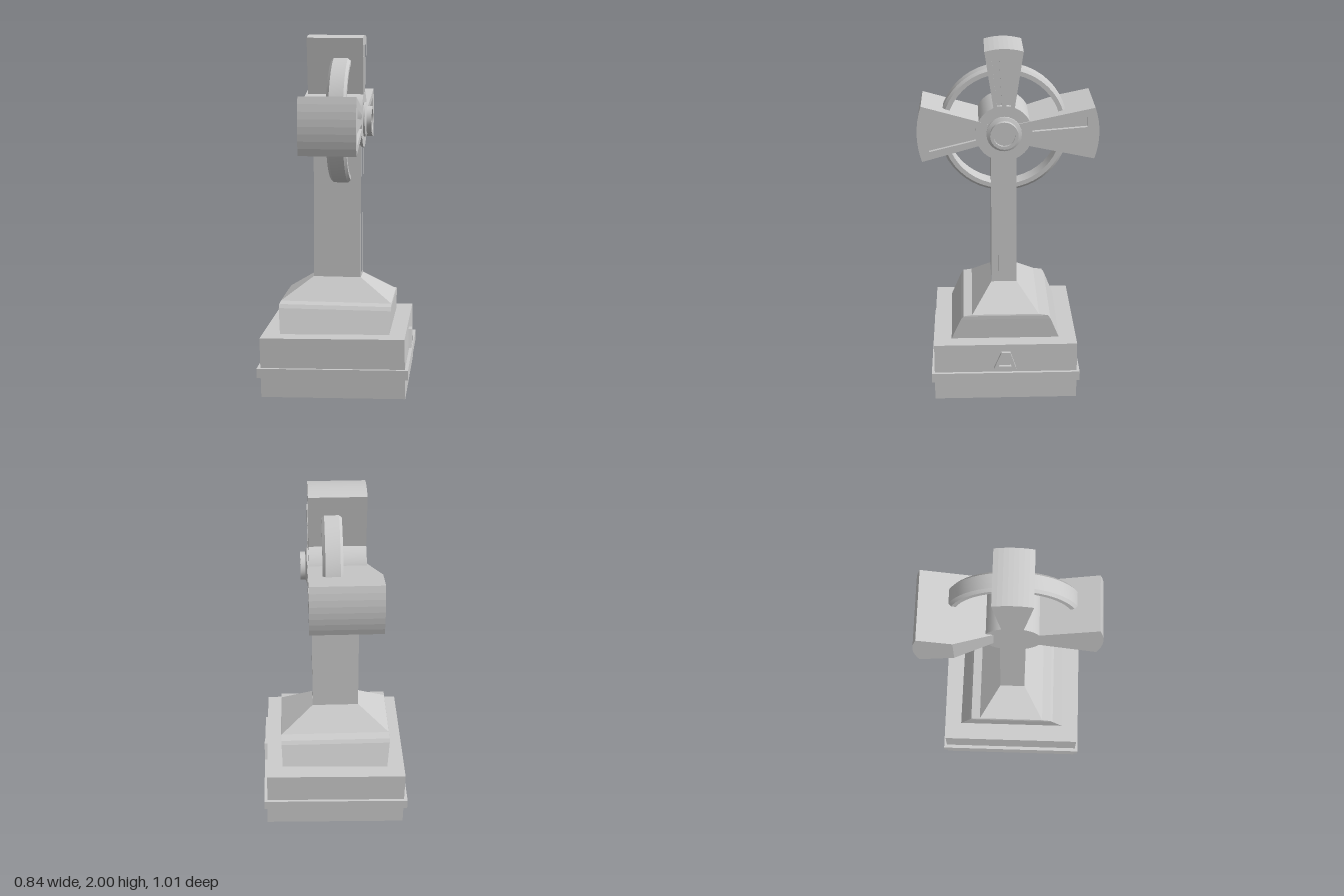
import * as THREE from 'three';
import { toCreasedNormals } from 'three/addons/utils/BufferGeometryUtils.js';

const CY = 1.525, CZ = 0.022; // centre of the cross head
const stone = new THREE.MeshStandardMaterial({ color: 0xcccccc });
stone.name = 'stone';

function add(parent, name, geometry) {
  const mesh = new THREE.Mesh(geometry, stone);
  mesh.name = name;
  parent.add(mesh);
  return mesh;
}

// Outline of [z, y] points extruded along x from x0 to x1
function slab(points, x0, x1, holes = []) {
  const vec = (list) => list.map(([z, y]) => new THREE.Vector2(-z, y));
  const shape = new THREE.Shape(vec(points));
  holes.forEach((h) => shape.holes.push(new THREE.Path(vec(h))));
  const g = new THREE.ExtrudeGeometry(shape, { depth: x1 - x0, bevelEnabled: false });
  return g.rotateY(Math.PI / 2).translate(x0, 0, 0);
}

// Profile of [radius, x] turned around the x axis through the cross head
function turned(profile, segments) {
  const g = new THREE.LatheGeometry(profile.map(([r, x]) => new THREE.Vector2(r, x)), segments);
  return toCreasedNormals(g, 0.5).rotateZ(-Math.PI / 2).translate(0, CY, CZ);
}

// Rectangular sections [y, xMin, xMax, zMin, zMax] joined upwards
function loft(sections) {
  const pos = [];
  const ring = ([y, a, b, c, d]) => [[a, y, d], [b, y, d], [b, y, c], [a, y, c]];
  for (let i = 0; i < sections.length - 1; i++) {
    const p = ring(sections[i]), q = ring(sections[i + 1]);
    for (let k = 0; k < 4; k++) {
      const n = (k + 1) % 4;
      pos.push(...p[k], ...p[n], ...q[n], ...p[k], ...q[n], ...q[k]);
    }
  }
  const g = new THREE.BufferGeometry();
  g.setAttribute('position', new THREE.Float32BufferAttribute(pos, 3));
  g.computeVertexNormals();
  return g;
}

const rect = (z0, z1, y0, y1) => [[z0, y0], [z1, y0], [z1, y1], [z0, y1]];

// Flared arm: half widths at inner and outer radius, bulging end
function addArm(parent, { name, dir, rIn, wIn, rOut, wOut, rMax, x1, flare }) {
  const [dz, dy] = dir;
  const at = (r, w) => [CZ + dz * r - dy * w, CY + dy * r + dz * w];
  const width = (r) => wIn + ((wOut - wIn) * (r - rIn)) / (rOut - rIn);
  const outline = (r0) => {
    const pts = [at(r0, -width(r0))];
    for (let i = 0; i <= 8; i++) {
      const t = i / 4 - 1;
      pts.push(at(rOut + (rMax - rOut) * (1 - t * t), t * wOut));
    }
    return [...pts, at(r0, width(r0))];
  };
  const g0 = 0.155, g1 = rOut - 0.04;
  // two tapering grooves with a ridge between them
  const grooves = [-1, 1].map((s) => [
    at(g0, s * 0.012), at(g1, s * wOut * 0.25), at(g1, s * wOut * 0.64), at(g0, s * 0.038)]);
  const arm = new THREE.Group();
  arm.name = name;
  parent.add(arm);
  add(arm, 'armBody', slab(outline(0.08), -0.18, x1 - 0.025));
  add(arm, 'armGroovedFace', slab(outline(0.08), x1 - 0.025, x1, grooves));
  if (flare) {
    // thicker back that slopes away from the hub
    const rm = 0.31, rs = 0.1;
    add(arm, 'armThickEnd', slab(outline(rm), -0.18 - flare, -0.18));
    const g = slab([at(rs, -width(rs)), at(rm, -width(rm)), at(rm, width(rm)), at(rs, width(rs))],
      -0.18 - flare, -0.18);
    const p = g.attributes.position;
    for (let i = 0; i < p.count; i++) {
      if (p.getX(i) < -0.181) {
        const r = (p.getZ(i) - CZ) * dz + (p.getY(i) - CY) * dy;
        p.setX(i, -0.18 - (flare * (r - rs)) / (rm - rs));
      }
    }
    g.computeVertexNormals();
    add(arm, 'armSlopedBack', g);
  }
}

export function createModel() {
  const model = new THREE.Group();
  model.name = 'stoneCross';

  // Slightly tilted base with a projecting band
  const base = new THREE.Group();
  base.name = 'base';
  base.rotation.z = 0.022;
  base.position.y = 0.009;
  model.add(base);
  add(base, 'baseBlock', new THREE.BoxGeometry(0.806, 0.338, 0.812).translate(0.001, 0.169, CZ));
  add(base, 'baseBand', new THREE.BoxGeometry(0.844, 0.054, 0.845).translate(0, 0.141, CZ));

  // Small raised trapezoid frame on the base
  add(base, 'baseFrame', slab(
    [[0.09, 0.195], [-0.037, 0.195], [-0.004, 0.295], [0.047, 0.295]], 0.4, 0.423,
    [[[0.063, 0.21], [-0.01, 0.21], [0.01, 0.282], [0.036, 0.282]]]));

  // Stepped shoulder between base and shaft
  add(model, 'shoulder', loft([
    [0.33, -0.308, 0.305, -0.295, 0.34],
    [0.475, -0.325, 0.31, -0.236, 0.275],
    [0.495, -0.325, 0.31, -0.222, 0.26],
    [0.503, -0.323, 0.308, -0.17, 0.21],
    [0.625, -0.148, 0.123, -0.05, 0.097]]));

  // Shaft with a sunken panel on its face
  add(model, 'shaft', slab(rect(-0.048, 0.095, 0.61, 1.42), -0.147, 0.098));
  add(model, 'shaftFrame', slab(rect(-0.048, 0.095, 0.61, 1.42), 0.098, 0.122,
    [rect(-0.025, 0.072, 0.645, 1.39)]));
  add(model, 'shaftPanel', slab(rect(-0.01, 0.056, 0.66, 1.4), 0.09, 0.11));

  // Hub, round boss and ring
  add(model, 'hub', turned([[0, -0.18], [0.158, -0.18], [0.158, 0.134], [0, 0.134]], 32));
  add(model, 'boss', turned([[0.098, 0.12], [0.098, 0.145], [0.078, 0.152], [0.078, 0.18],
    [0.06, 0.18], [0.06, 0.165], [0, 0.165]], 24));
  add(model, 'ring', turned([[0.32, -0.045], [0.345, -0.045], [0.36, -0.03], [0.36, 0.05],
    [0.345, 0.065], [0.32, 0.065], [0.32, -0.045]], 48));

  // Three flared arms
  [
    { name: 'topArm', dir: [0, 1], rIn: 0.155, wIn: 0.06, rOut: 0.46, wOut: 0.106, rMax: 0.475, x1: 0.135 },
    { name: 'leftArm', dir: [1, 0], rIn: 0.14, wIn: 0.07, rOut: 0.455, wOut: 0.159, rMax: 0.481, x1: 0.135 },
    { name: 'rightArm', dir: [-1, 0], rIn: 0.14, wIn: 0.07, rOut: 0.5, wOut: 0.146, rMax: 0.525, x1: 0.143, flare: 0.075 },
  ].forEach((a) => addArm(model, a));

  return model;
}
